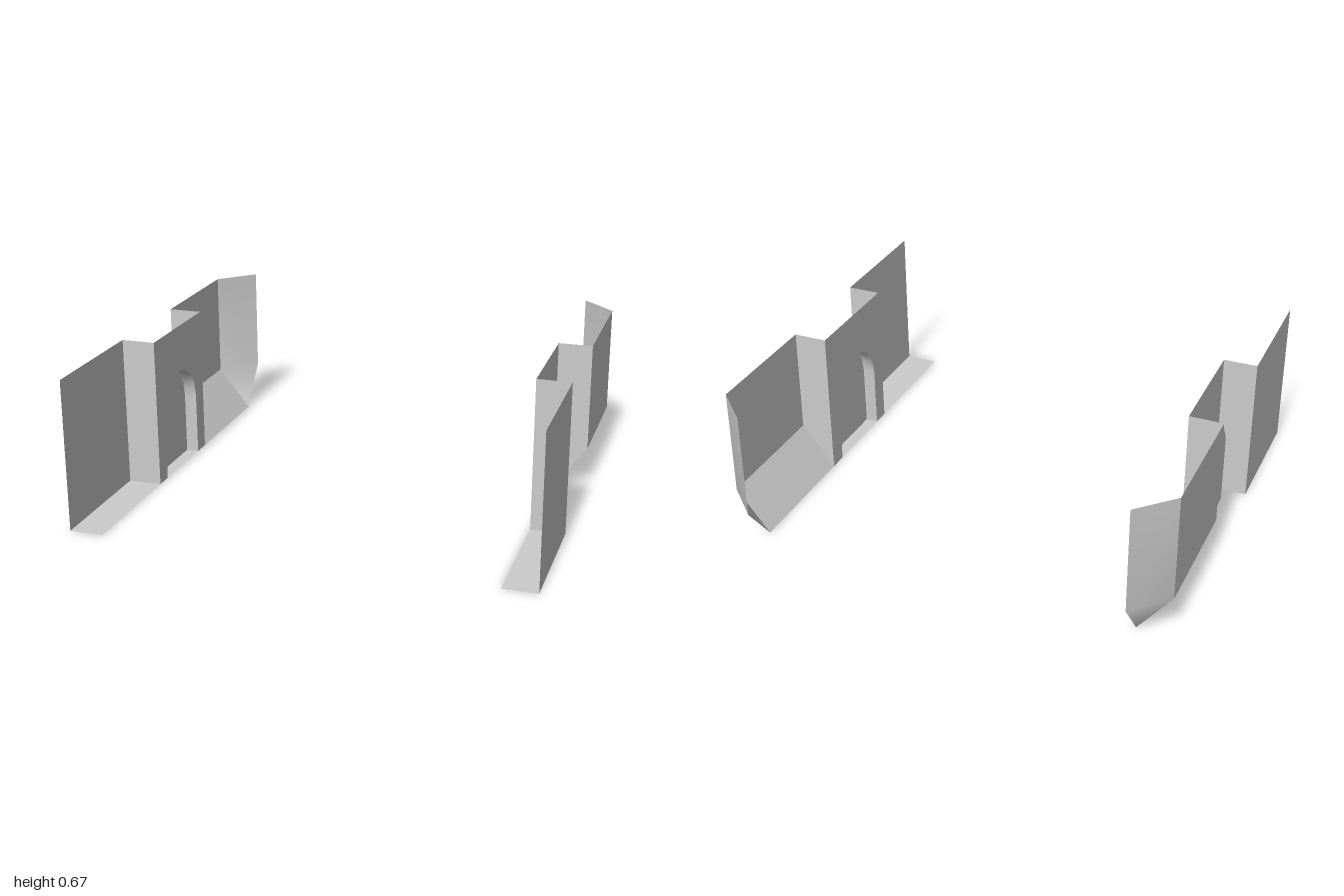
import * as THREE from 'three';

const IN = 0.85, MID = 0.907, OUT = 1;        // inner wall, niche back, outer wall (x)
const TOP = 0.67, SILL = 0.19;                // wall top, top of the sloped skirt (y)
const Z = [0.92, 0.335, -0.185, -0.77, -0.92]; // section boundaries, front to back
const ARCH = { z: 0.077, r: 0.178, spring: 0.28, segments: 8 };

const material = new THREE.MeshStandardMaterial({ color: 0xcccccc, side: THREE.DoubleSide });

// Outline of the niche as [z, y], foot to foot
function archOutline() {
  const pts = [[ARCH.z + ARCH.r, 0]];
  for (let i = 0; i <= ARCH.segments; i++) {
    const a = (i / ARCH.segments) * Math.PI;
    pts.push([ARCH.z + ARCH.r * Math.cos(a), ARCH.spring + ARCH.r * Math.sin(a)]);
  }
  pts.push([ARCH.z - ARCH.r, 0]);
  return pts;
}

// Indexed surface; s mirrors it in x, with the winding kept facing outward
function surface(points, faces, s) {
  const g = new THREE.BufferGeometry();
  g.setAttribute('position', new THREE.Float32BufferAttribute(
    points.flatMap(([x, y, z]) => [x * s, y, z]), 3));
  g.setIndex(faces.flatMap(([a, b, c]) => (s > 0 ? [a, b, c] : [a, c, b])));
  g.computeVertexNormals();
  return g;
}

const quad = (points, s) => surface(points, [[0, 1, 2], [0, 2, 3]], s);

// Flat panel from a [z, y] outline, standing at a given x
function sidePanel(outline, x, s) {
  const shape = new THREE.Shape(outline.map(([z, y]) => new THREE.Vector2(z, y)));
  const g = new THREE.ShapeGeometry(shape).rotateY(-Math.PI / 2);
  return g.translate(x * s, 0, 0);
}

function createSide(s) {
  const side = new THREE.Group();
  side.name = s > 0 ? 'leftSide' : 'rightSide';
  const add = (name, geometry) => {
    const mesh = new THREE.Mesh(geometry, material);
    mesh.name = name;
    side.add(mesh);
  };
  const arch = archOutline();

  // Front bay: outer wall and flat floor
  add('frontWall', quad([[OUT, 0, Z[0]], [OUT, 0, Z[1]], [OUT, TOP, Z[1]], [OUT, TOP, Z[0]]], s));
  add('frontFloor', quad([[IN, 0, Z[0]], [IN, 0, Z[1]], [OUT, 0, Z[1]], [OUT, 0, Z[0]]], s));
  add('frontReturn', quad([[IN, 0, Z[1]], [IN, TOP, Z[1]], [OUT, TOP, Z[1]], [OUT, 0, Z[1]]], s));

  // Middle bay: set-in wall cut by an arched niche
  add('middleWall', sidePanel([[Z[1], 0], [Z[1], TOP], [Z[2], TOP], [Z[2], 0], ...arch.slice().reverse()], IN, s));
  add('nicheBack', sidePanel(arch, MID, s));
  const rim = arch.flatMap(([z, y]) => [[IN, y, z], [MID, y, z]]);
  const rimFaces = [];
  for (let i = 0; i < arch.length - 1; i++) {
    const k = 2 * i;
    rimFaces.push([k, k + 1, k + 3], [k, k + 3, k + 2]);
  }
  add('nicheReveal', surface(rim, rimFaces, s));
  const [zA, zB] = [ARCH.z + ARCH.r, ARCH.z - ARCH.r];
  add('nicheFloor', quad([[IN, 0, zA], [IN, 0, zB], [MID, 0, zB], [MID, 0, zA]], s));

  // Back bay: return, outer wall and sloped skirt
  add('backReturn', surface(
    [[IN, 0, Z[2]], [OUT, SILL, Z[2]], [OUT, TOP, Z[2]], [IN, TOP, Z[2]]],
    [[0, 1, 2], [0, 2, 3]], s));
  add('backWall', quad([[OUT, SILL, Z[2]], [OUT, SILL, Z[3]], [OUT, TOP, Z[3]], [OUT, TOP, Z[2]]], s));
  add('backSkirt', quad([[IN, 0, Z[2]], [IN, 0, Z[3]], [OUT, SILL, Z[3]], [OUT, SILL, Z[2]]], s));

  // Angled end with its triangular foot, shaded as one smooth surface
  add('angledEnd', surface(
    [[OUT, TOP, Z[3]], [OUT, SILL, Z[3]], [IN, SILL, Z[4]], [IN, TOP, Z[4]], [IN, 0, Z[3]]],
    [[0, 1, 2], [0, 2, 3], [1, 4, 2]], s));
  return side;
}

export function createModel() {
  const model = new THREE.Group();
  model.name = 'sideWalls';
  for (const s of [1, -1]) model.add(createSide(s));
  return model;
}
